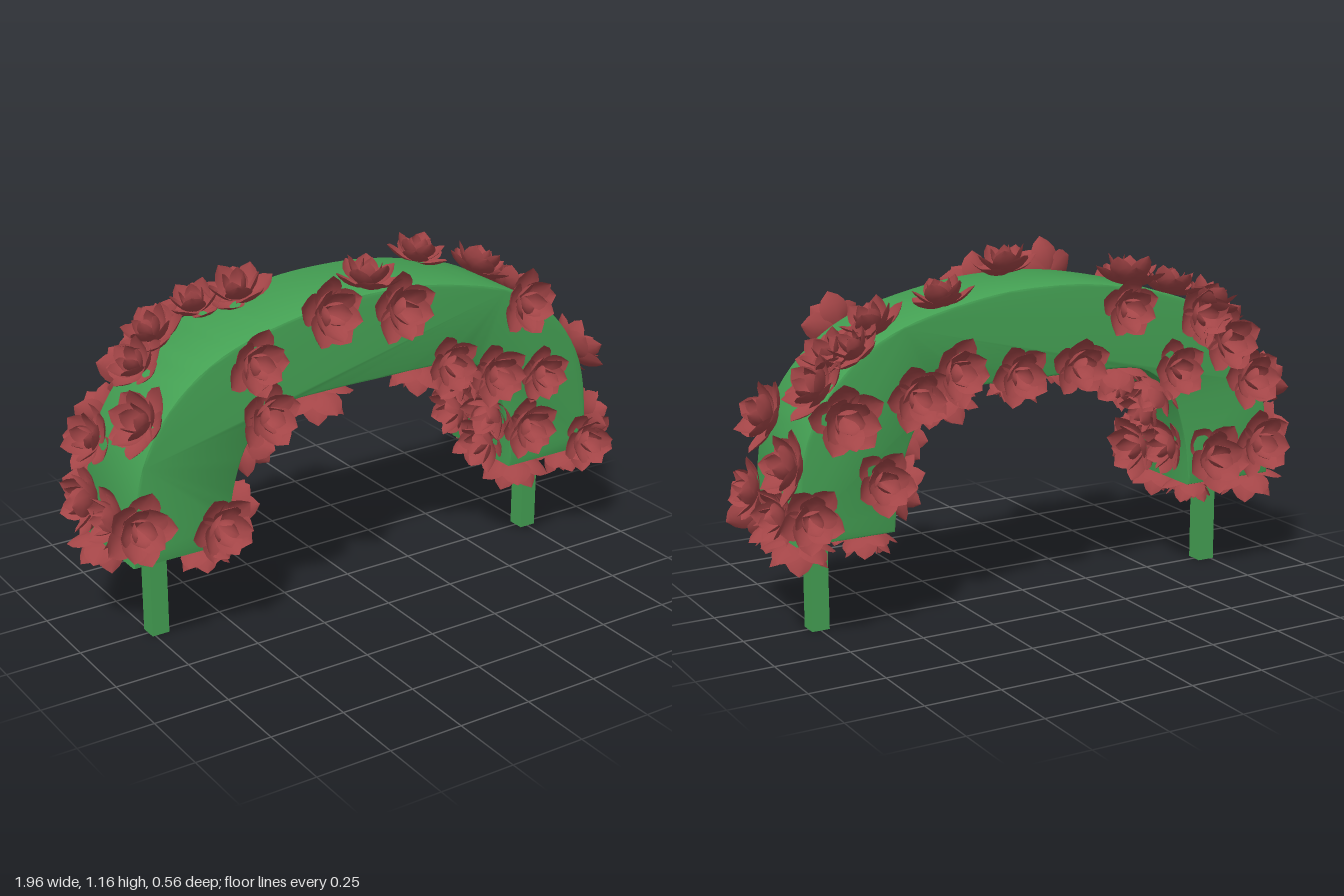
import * as THREE from 'three';
import { mergeGeometries, toCreasedNormals } from 'three/addons/utils/BufferGeometryUtils.js';

const green = new THREE.MeshStandardMaterial({ color: 0x44a053, name: 'leafGreen' });
const red = new THREE.MeshStandardMaterial({ color: 0xa34547, name: 'petalRed', side: THREE.DoubleSide });

const BASE = 0.33, HALF_DEPTH = 0.17;

// Mirrors the left half of a profile into a full curve running from -x to +x
function archCurve(half) {
  const right = half.slice(0, -1).reverse().map(([x, y]) => [-x, y]);
  return new THREE.SplineCurve([...half, ...right].map(([x, y]) => new THREE.Vector2(x, y)));
}
const outer = archCurve([[-0.88, BASE], [-0.86, 0.58], [-0.8, 0.74], [-0.68, 0.88], [-0.5, 0.98], [-0.22, 1.045], [0, 1.06]]);
const inner = archCurve([[-0.55, BASE], [-0.53, 0.5], [-0.47, 0.66], [-0.36, 0.75], [-0.18, 0.765], [0, 0.765]]);

// Small seeded generator for flower turn and size
let seed = 7;
function rand() {
  seed = (seed * 16807) % 2147483647;
  return seed / 2147483647;
}

// One cupped petal leaning out from the flower axis (+y)
function petal(length, width, lean, turn) {
  const g = new THREE.PlaneGeometry(2, 1, 4, 6);
  const p = g.attributes.position;
  const s = Math.sin(lean), c = Math.cos(lean);
  for (let i = 0; i < p.count; i++) {
    const u = p.getX(i), v = p.getY(i) + 0.5;
    const half = 0.5 * width * Math.pow(Math.max(0, Math.sin(Math.PI * (0.04 + 0.96 * Math.pow(v, 1.15)))), 0.75);
    const lift = u * u * half * 0.3 - 0.016 * Math.sin(Math.PI * v);
    p.setXYZ(i, u * half, length * v * s === 0 ? lift * s : length * v * c + lift * s, length * v * s - lift * c);
  }
  g.rotateY(turn);
  g.computeVertexNormals();
  return g;
}

// Three rings of petals, opening outward
function flowerGeometry() {
  const petals = [];
  const rings = [[5, 0.128, 0.1, 1.15], [5, 0.122, 0.086, 0.75], [4, 0.1, 0.06, 0.35]];
  rings.forEach(([n, length, width, lean], r) => {
    for (let i = 0; i < n; i++) {
      petals.push(petal(length, width, lean + 0.12 * Math.sin(i * 2.3 + r), (i + r * 0.5) / n * Math.PI * 2));
    }
  });
  return mergeGeometries(petals);
}

export function createModel() {
  const model = new THREE.Group();
  model.name = 'floweredArch';

  // Arch body with softly bevelled edges
  const bevel = 0.008;
  const shape = new THREE.Shape([...outer.getSpacedPoints(56), ...inner.getSpacedPoints(48).reverse()]);
  const bodyGeometry = new THREE.ExtrudeGeometry(shape, {
    depth: 2 * (HALF_DEPTH - bevel), bevelEnabled: true, bevelSize: bevel,
    bevelOffset: -bevel, bevelThickness: bevel, bevelSegments: 2,
  });
  bodyGeometry.translate(0, 0, bevel - HALF_DEPTH);
  const body = new THREE.Mesh(toCreasedNormals(bodyGeometry, 0.7), green);
  body.name = 'archBody';
  model.add(body);

  // Square posts
  for (const [name, x] of [['rightPost', -0.73], ['leftPost', 0.75]]) {
    const post = new THREE.Mesh(new THREE.BoxGeometry(0.06, 0.38, 0.06), green);
    post.name = name;
    post.position.set(x, 0.19, 0);
    model.add(post);
  }

  // Flowers grow along the surface normal
  const flowers = new THREE.Group();
  flowers.name = 'flowers';
  model.add(flowers);
  const geometry = flowerGeometry();
  const up = new THREE.Vector3(0, 1, 0);
  function addFlower(x, y, z, nx, ny, nz) {
    const normal = new THREE.Vector3(nx + (rand() - 0.5) * 0.3, ny + (rand() - 0.5) * 0.3, nz + (rand() - 0.5) * 0.3).normalize();
    const flower = new THREE.Mesh(geometry, red);
    flower.name = 'flower';
    flower.position.set(x, y, z);
    flower.quaternion.setFromUnitVectors(up, normal);
    flower.rotateY(rand() * Math.PI * 2);
    flower.scale.setScalar(0.88 + rand() * 0.18);
    flowers.add(flower);
  }
  function alongCurve(curve, side, list) {
    for (const [t, z] of list) {
      const p = curve.getPointAt(t), d = curve.getTangentAt(t);
      addFlower(p.x, p.y, z, -d.y * side, d.x * side, 0);
    }
  }

  // Front face
  for (const [x, y] of [[-0.87, 0.47], [-0.59, 0.41], [-0.46, 0.92], [-0.42, 0.74], [-0.2, 1.03], [0.07, 1],
    [0.27, 0.77], [0.46, 0.7], [0.57, 0.92], [0.65, 0.66], [0.6, 0.48], [0.86, 0.37]]) {
    addFlower(x, y, HALF_DEPTH, 0, 0, 1);
  }
  // Back face
  for (const [x, y] of [[-0.82, 0.45], [-0.78, 0.68], [-0.68, 0.82], [-0.57, 0.92], [-0.48, 0.74], [-0.28, 0.97],
    [-0.1, 0.8], [-0.64, 0.42], [0.12, 0.79], [0.35, 0.82], [0.48, 0.76], [0.72, 0.72], [0.6, 0.5], [0.84, 0.42]]) {
    addFlower(x, y, -HALF_DEPTH, 0, 0, -1);
  }
  // Outer curve: position along it, then depth
  alongCurve(outer, 1, [[0.05, 0.08], [0.05, -0.1], [0.17, 0.11], [0.12, -0.13], [0.22, -0.09], [0.26, -0.15],
    [0.32, -0.15], [0.37, -0.1], [0.5, 0.11], [0.635, -0.13], [0.72, -0.09], [0.76, -0.15],
    [0.78, -0.06], [0.82, -0.13], [0.87, 0.1], [0.91, -0.14], [0.97, -0.07], [0.96, 0.14]]);
  // Inner curve
  alongCurve(inner, -1, [[0.05, 0.1], [0.08, -0.1], [0.15, 0], [0.2, 0.12], [0.22, -0.12], [0.29, 0.05],
    [0.33, -0.11], [0.38, 0.12], [0.55, -0.1], [0.62, 0.1], [0.68, 0], [0.72, -0.12], [0.76, 0.11],
    [0.83, -0.05], [0.87, 0.12], [0.92, -0.1], [0.96, 0.06]]);
  // Undersides of both ends
  for (const [x, z] of [[-0.84, -0.1], [-0.61, 0.1], [-0.62, -0.08], [0.62, 0.1], [0.62, -0.1], [0.82, 0.11], [0.84, -0.09]]) {
    addFlower(x, BASE, z, 0, -1, 0);
  }
  return model;
}
